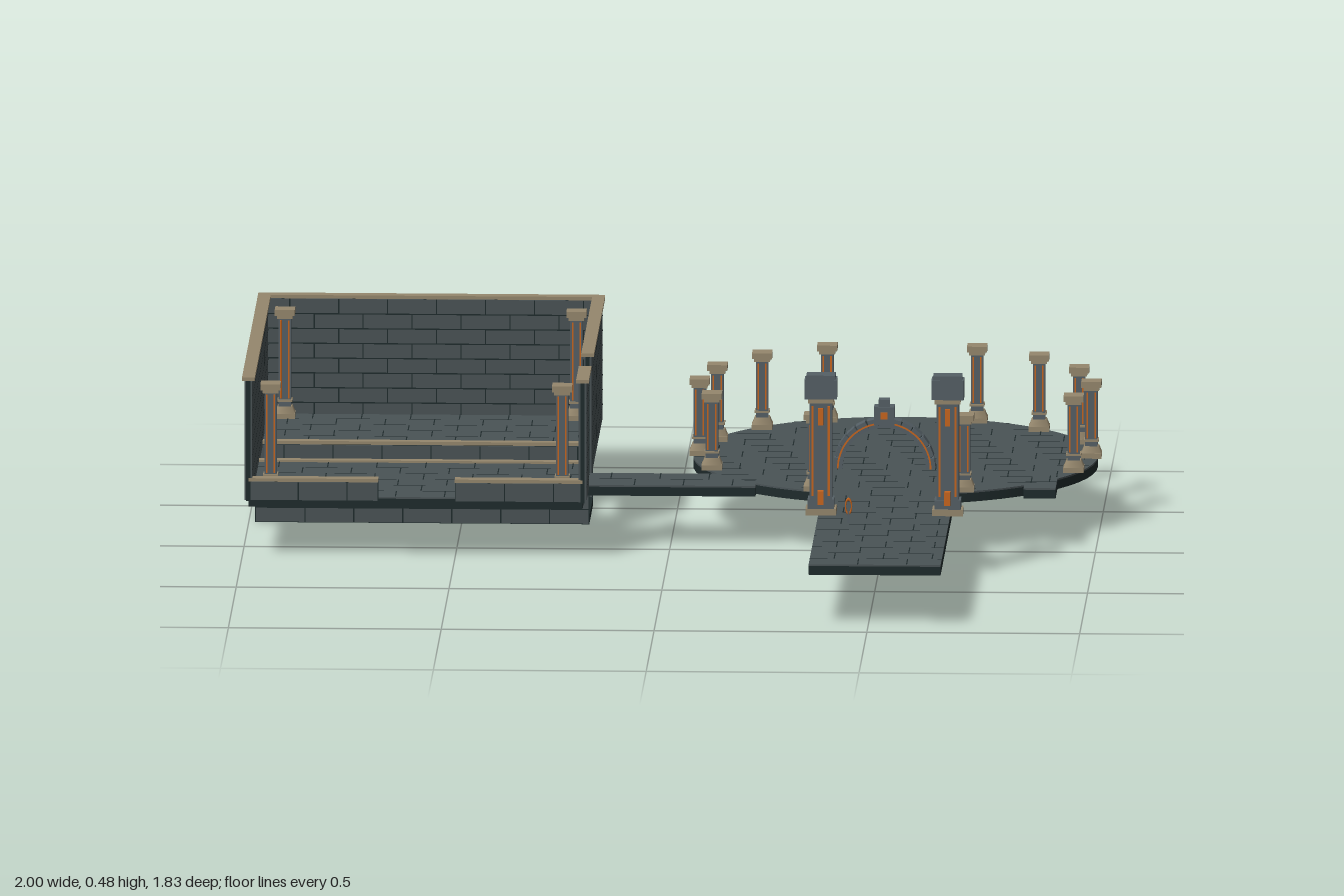
import * as THREE from 'three';
import { mergeGeometries } from 'three/addons/utils/BufferGeometryUtils.js';

const material = (name, color, side = THREE.FrontSide) => {
  const m = new THREE.MeshStandardMaterial({ color, side });
  m.name = name;
  return m;
};

export function createModel() {
  const stone = material('slate stone', 0x4a5356);
  const pillarStone = material('pillar stone', 0x556066);
  const dark = material('dark core', 0x1f2b2c);
  const tan = material('tan trim', 0x95876d);
  const orange = material('orange inlay', 0xc8661f);
  const model = new THREE.Group();
  model.name = 'ruin';
  const FLOOR = 0.145;

  const add = (parent, name, geo, mat, x = 0, y = 0, z = 0) => {
    const mesh = new THREE.Mesh(geo, mat);
    mesh.name = name;
    mesh.position.set(x, y, z);
    parent.add(mesh);
    return mesh;
  };
  const group = (name, parent = model) => {
    const g = new THREE.Group();
    g.name = name;
    parent.add(g);
    return g;
  };
  // Box given by its extents
  const box = (parent, name, mat, x0, x1, y0, y1, z0, z1) =>
    add(parent, name, new THREE.BoxGeometry(x1 - x0, y1 - y0, z1 - z0), mat,
      (x0 + x1) / 2, (y0 + y1) / 2, (z0 + z1) / 2);

  // Running-bond joint lines in the xy plane; half(v) is the half width at height v
  const joints = (w, h, rowH, brickW, half = () => w / 2) => {
    const parts = [], t = 0.0028;
    const strip = (sx, sy, x, y) => parts.push(new THREE.PlaneGeometry(sx, sy).translate(x, y, 0.0008));
    const rows = Math.max(1, Math.round(h / rowH)), rh = h / rows;
    for (let r = 0; r < rows; r++) {
      const v = -h / 2 + r * rh;
      if (r > 0) strip(2 * half(v), t, 0, v);
      const edge = Math.min(half(v), half(v + rh));
      const first = -w / 2 + (r % 2 ? brickW / 2 : brickW);
      for (let u = first; u < w / 2 - 0.01; u += brickW)
        if (Math.abs(u) < edge) strip(t, rh, u, v + rh / 2);
    }
    return parts.length ? mergeGeometries(parts) : new THREE.PlaneGeometry(t, h).translate(0, 0, 0.0008);
  };

  // Thin stone facing with dark joints, facing +z
  const facing = (parent, name, w, h, rowH, brickW) => {
    const g = group(name, parent);
    add(g, 'stoneFace', new THREE.BoxGeometry(w, h, 0.004), stone, 0, 0, -0.002);
    add(g, 'joints', joints(w, h, rowH, brickW), dark);
    return g;
  };

  // Dark slab topped with paving
  const paving = (name, x0, x1, z0, z1) => {
    const g = group(name);
    box(g, 'slab', dark, x0, x1, 0.12, FLOOR - 0.004, z0, z1);
    const f = facing(g, 'paving', x1 - x0, z1 - z0, 0.073, 0.115);
    f.rotation.x = -Math.PI / 2;
    f.position.set((x0 + x1) / 2, FLOOR, (z0 + z1) / 2);
  };

  // Straight brick wall between two ground points, with a tan coping
  const wall = (name, ax, az, bx, bz, y0, y1, capW = 0.03) => {
    const g = group(name), L = Math.hypot(bx - ax, bz - az), top = y1 - 0.008;
    g.position.set((ax + bx) / 2, 0, (az + bz) / 2);
    g.rotation.y = -Math.atan2(bz - az, bx - ax);
    box(g, 'core', dark, -L / 2, L / 2, y0, top, -0.005, 0.005);
    for (const s of [1, -1]) {
      const f = facing(g, 'bricks', L - 0.004, top - y0 - 0.004, 0.037, 0.115);
      f.position.set(0, (top + y0) / 2, s * 0.009);
      f.rotation.y = s > 0 ? 0 : Math.PI;
    }
    box(g, 'coping', tan, -L / 2, L / 2, top, y1, -capW / 2, capW / 2);
  };

  // Room floors either side of the channel
  paving('roomFloorBack', -0.985, -0.2, -0.9, -0.547);
  paving('roomFloorFront', -0.985, -0.2, -0.302, 0.125);

  // Room walls, with a side doorway and a low broken front wall
  wall('leftRoomWall', -0.985, -0.91, -0.985, 0.135, 0.135, 0.43);
  wall('backRoomWall', -0.985, -0.9, -0.2, -0.9, 0.135, 0.43);
  wall('sideWallBack', -0.2, -0.91, -0.2, -0.19, 0.135, 0.43);
  wall('sideWallFront', -0.2, -0.04, -0.2, 0.135, 0.135, 0.43);
  wall('lowFrontWall', -0.985, 0.122, -0.68, 0.122, 0.135, 0.19);
  wall('lowFrontWall', -0.5, 0.122, -0.2, 0.122, 0.135, 0.19);

  // Open-ended channel under the room with arrow inlays
  wall('channelWallFront', -0.985, -0.307, -0.2, -0.307, 0, 0.15, 0.022);
  wall('channelWallBack', -0.985, -0.542, -0.2, -0.542, 0, 0.15, 0.022);
  box(model, 'channelBed', dark, -0.985, -0.2, 0, 0.02, -0.54, -0.31);
  for (let i = 0; i < 6; i++) {
    const tip = -0.865 + i * 0.118, s = new THREE.Shape();
    [[0, 0], [-0.042, 0.105], [-0.048, 0.105], [-0.007, 0], [-0.048, -0.105], [-0.042, -0.105]]
      .forEach(([x, y], k) => (k ? s.lineTo(x, y) : s.moveTo(x, y)));
    add(model, 'arrowInlay', new THREE.ShapeGeometry(s), orange, tip, 0.0215, -0.425).rotation.x = -Math.PI / 2;
  }

  // Round plaza
  const plaza = group('plaza'), R = 0.475;
  plaza.position.set(0.515, 0, -0.43);
  add(plaza, 'plazaSlab', new THREE.CylinderGeometry(R, R, 0.021, 64), dark, 0, 0.1305, 0);
  add(plaza, 'plazaPaving', new THREE.CylinderGeometry(R, R, 0.004, 64), stone, 0, 0.143, 0);
  const chord = v => Math.sqrt(Math.max(0, R * R - v * v));
  add(plaza, 'plazaJoints', joints(2 * R, 2 * R, 0.073, 0.115, chord), dark, 0, FLOOR, 0).rotation.x = -Math.PI / 2;

  // Walkways
  paving('entryPath', 0.36, 0.67, 0.0, 0.915);
  paving('corridor', -0.2, 0.2, -0.19, -0.04);
  paving('corridorStub', 0.83, 0.905, -0.19, -0.04);

  // Square column: stepped base, shaft with inlays, capital
  const column = (parent, x, z, top) => {
    const g = group('column', parent);
    g.position.set(x, 0, z);
    const b = (name, mat, r, y0, y1) => box(g, name, mat, -r, r, y0, y1, -r, r);
    b('plinth', tan, 0.024, FLOOR, 0.157);
    const flare = add(g, 'flaredBase', new THREE.CylinderGeometry(0.017 * Math.SQRT2, 0.023 * Math.SQRT2, 0.016, 4).rotateY(Math.PI / 4),
      tan, 0, 0.165, 0);
    flare.material = tan;
    b('shaft', pillarStone, 0.0145, 0.173, top - 0.018);
    b('lowerBand', tan, 0.0175, 0.184, 0.189);
    b('neck', tan, 0.0185, top - 0.022, top - 0.014);
    b('capital', tan, 0.0235, top - 0.014, top);
    for (const sz of [1, -1]) for (const sx of [1, -1])
      box(g, 'inlay', orange, sx * 0.009 - 0.0018, sx * 0.009 + 0.0018, 0.192, top - 0.026,
        sz * 0.0148 - 0.0008, sz * 0.0148 + 0.0008);
  };

  // Ring of columns, left open at the walkways and rear
  const openings = [2, 4, 6, 12];
  for (let i = 0; i < 16; i++) {
    if (openings.includes(i)) continue;
    const a = (i * Math.PI) / 8;
    column(plaza, 0.46 * Math.cos(a), 0.46 * Math.sin(a), 0.328);
  }
  for (const x of [-0.935, -0.25]) for (const z of [-0.85, 0.065]) column(model, x, z, 0.405);

  // Gate: two towers joined by an arch
  const gate = group('gate');
  gate.position.set(0.515, 0, 0.285);
  for (const s of [1, -1]) {
    const tower = group('gateTower', gate);
    tower.position.x = s * 0.149;
    const b = (name, mat, rx, y0, y1, rz) => box(tower, name, mat, -rx, rx, y0, y1, -rz, rz);
    b('towerPlinth', tan, 0.036, FLOOR, 0.16, 0.028);
    b('towerBase', pillarStone, 0.031, 0.16, 0.182, 0.025);
    b('towerShaft', pillarStone, 0.026, 0.182, 0.412, 0.021);
    b('towerCollar', tan, 0.03, 0.412, 0.422, 0.025);
    b('towerHead', pillarStone, 0.038, 0.422, 0.468, 0.026);
    b('towerTop', pillarStone, 0.034, 0.468, 0.478, 0.023);
    for (const f of [1, -1]) {
      for (const e of [1, -1])
        box(tower, 'towerInlay', orange, e * 0.019 - 0.0025, e * 0.019 + 0.0025, 0.19, 0.405, f * 0.0215 - 0.001, f * 0.0215 + 0.001);
    }
    box(tower, 'lowerBracket', orange, -0.007, 0.007, 0.172, 0.205, 0.025, 0.042);
    box(tower, 'upperBracket', orange, -0.006, 0.006, 0.36, 0.4, 0.021, 0.027);
  }
  const arch = group('arch', gate), N = 13;
  arch.position.y = 0.255;
  for (let i = 0; i < N; i++) {
    const a = ((i + 0.5) * Math.PI) / N;
    const block = add(arch, 'archBlock', new THREE.BoxGeometry(0.022, 0.0245, 0.034), pillarStone,
      0.109 * Math.cos(a), 0.109 * Math.sin(a), 0);
    block.rotation.z = a;
  }
  add(arch, 'archCore', new THREE.TorusGeometry(0.109, 0.0085, 4, 26, Math.PI), dark);
  for (const f of [1, -1])
    add(arch, 'archInlay', new THREE.RingGeometry(0.107, 0.111, 32, 1, 0, Math.PI), orange, 0, 0, f * 0.0176)
      .rotation.y = f > 0 ? 0 : Math.PI;
  box(arch, 'keystone', pillarStone, -0.024, 0.024, 0.105, 0.148, -0.02, 0.02);
  box(arch, 'keystoneCrown', pillarStone, -0.013, 0.013, 0.148, 0.165, -0.015, 0.015);
  box(arch, 'keystoneInlay', orange, -0.008, 0.008, 0.119, 0.135, 0.0195, 0.0215);

  // Small ring marker standing on the path
  const marker = group('pathMarker');
  marker.position.set(0.435, FLOOR, 0.405);
  box(marker, 'markerPost', pillarStone, -0.002, 0.002, 0, 0.03, -0.002, 0.002);
  add(marker, 'markerRing', new THREE.TorusGeometry(0.009, 0.002, 6, 16).scale(0.8, 1.9, 1), orange, 0, 0.04, 0);

  return model;
}
